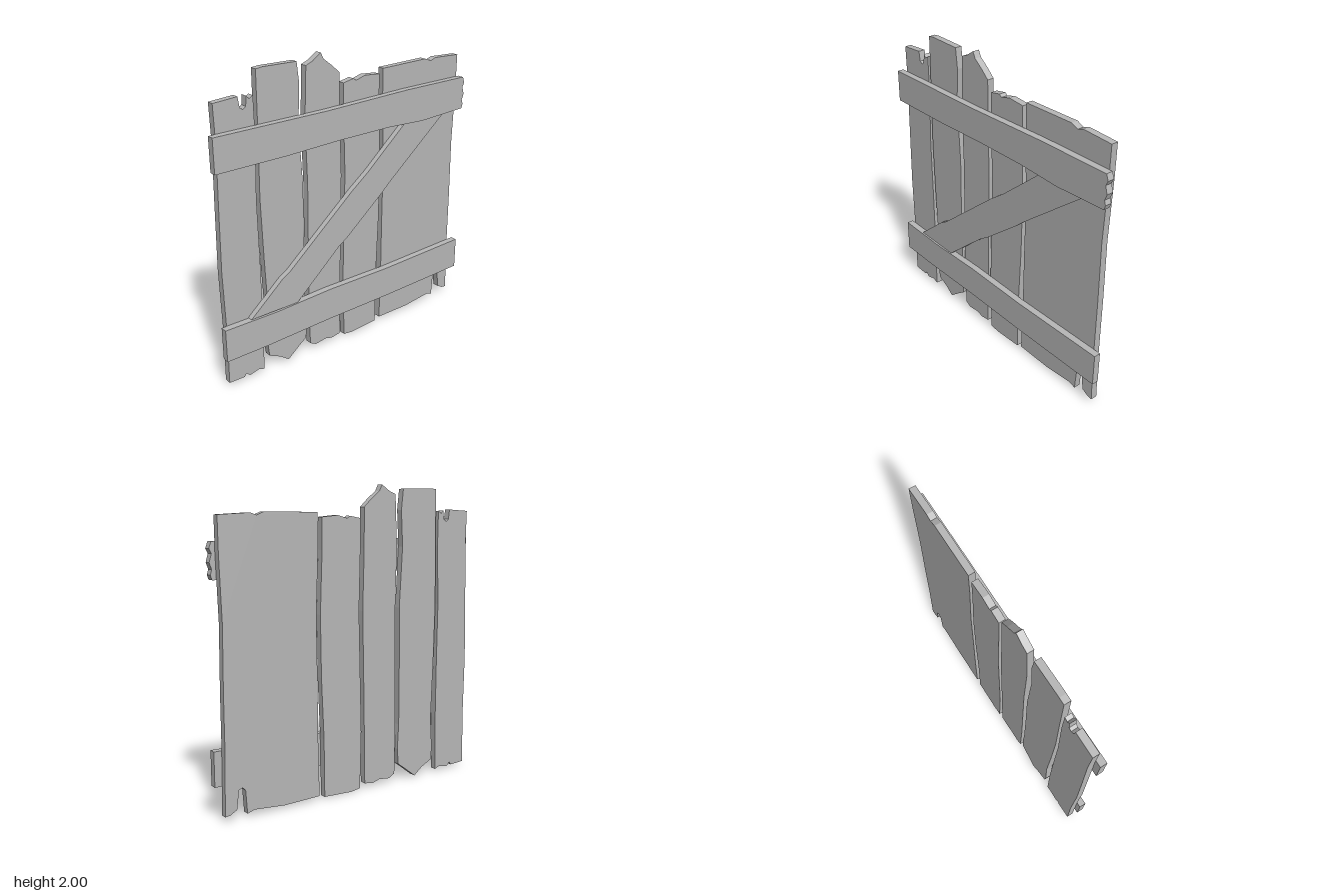
import * as THREE from 'three';

const T = 0.045; // board thickness
const SIDE_HEIGHTS = [0.4, 0.8, 1.2, 1.6]; // where the plank sides are given

export function createModel() {
  const gate = new THREE.Group();
  gate.name = 'woodenGate';
  const wood = new THREE.MeshStandardMaterial({ color: 0xb8b8b8 });
  wood.name = 'plain grey';

  // Extrudes an outline of [x, y] corners forward from depth z
  function board(name, corners, z, depth) {
    const shape = new THREE.Shape(corners.map(([x, y]) => new THREE.Vector2(x, y)));
    const geometry = new THREE.ExtrudeGeometry(shape, { depth, bevelEnabled: false });
    const mesh = new THREE.Mesh(geometry, wood);
    mesh.name = name;
    mesh.position.z = z;
    gate.add(mesh);
  }

  // Upright plank: broken top and bottom ends (left to right), wavy sides between them
  function plank(name, top, bottom, left, right) {
    const side = (xs) => SIDE_HEIGHTS.map((y, i) => [xs[i], y]);
    board(name, [...bottom, ...side(right), ...top.reverse(), ...side(left).reverse()], -T, T);
  }

  plank('notchedPlank',
    [[-.95, 1.83], [-.79, 1.84], [-.78, 1.775], [-.76, 1.76], [-.74, 1.775], [-.735, 1.835], [-.715, 1.815], [-.69, 1.83]],
    [[-.96, .03], [-.85, .025], [-.835, .045], [-.81, .02], [-.74, .035], [-.7, .02]],
    [-.955, -.963, -.955, -.945], [-.693, -.695, -.7, -.687]);

  plank('pointedFootPlank',
    [[-.665, 1.975], [-.62, 1.98], [-.385, 1.975], [-.37, 1.84]],
    [[-.665, .18], [-.655, .1], [-.575, .06], [-.51, .01], [-.42, .08], [-.365, .12], [-.355, .23]],
    [-.65, -.665, -.675, -.668], [-.365, -.365, -.36, -.383]);

  plank('pointedTopPlank',
    [[-.32, 1.94], [-.27, 1.96], [-.21, 2], [-.19, 1.96], [-.125, 1.91], [-.07, 1.86]],
    [[-.33, .06], [-.285, .035], [-.2, .045], [-.15, .03], [-.08, .04]],
    [-.335, -.33, -.325, -.335], [-.075, -.068, -.06, -.07]);

  plank('shortPlank',
    [[-.04, 1.79], [.04, 1.805], [.06, 1.79], [.13, 1.81], [.25, 1.8]],
    [[-.04, .015], [.03, .005], [.24, .015]],
    [-.05, -.04, -.03, -.04], [.243, .26, .265, .25]);

  plank('widePlank',
    [[.28, 1.83], [.65, 1.835], [.7, 1.815], [.74, 1.83], [.95, 1.82]],
    [[.28, .03], [.54, .025], [.75, .045], [.8, .03], [.81, .18], [.83, .2], [.855, .19], [.87, .07], [.915, .045], [.95, .04]],
    [.288, .29, .295, .28], [.94, .94, .935, .948]);

  // Cross rails, the upper one chipped at its left end
  board('topRail',
    [[-.99, 1.44], [-.5, 1.44], [-.1, 1.45], [.3, 1.45], [.6, 1.435], [.97, 1.45], [.98, 1.48], [.97, 1.51],
      [.985, 1.55], [.97, 1.6], [.985, 1.63], [.97, 1.67], [.45, 1.67], [-.2, 1.655], [-.99, 1.655]], 0, T);
  board('bottomRail',
    [[-.99, .22], [-.7, .215], [-.2, .22], [.3, .215], [.99, .22], [.99, .44], [.3, .43], [-.2, .44], [-.6, .43], [-.99, .44]], 0, T);

  // Slightly thinner diagonal brace between the rails
  board('diagonalBrace',
    [[-.8, .44], [-.45, .435], [-.11, .725], [-.04, .77], [.25, 1], [.33, 1.07], [.8, 1.445], [.45, 1.45],
      [.13, 1.18], [0, 1.085], [-.5, .675], [-.56, .64]], 0, 0.037);
  return gate;
}
